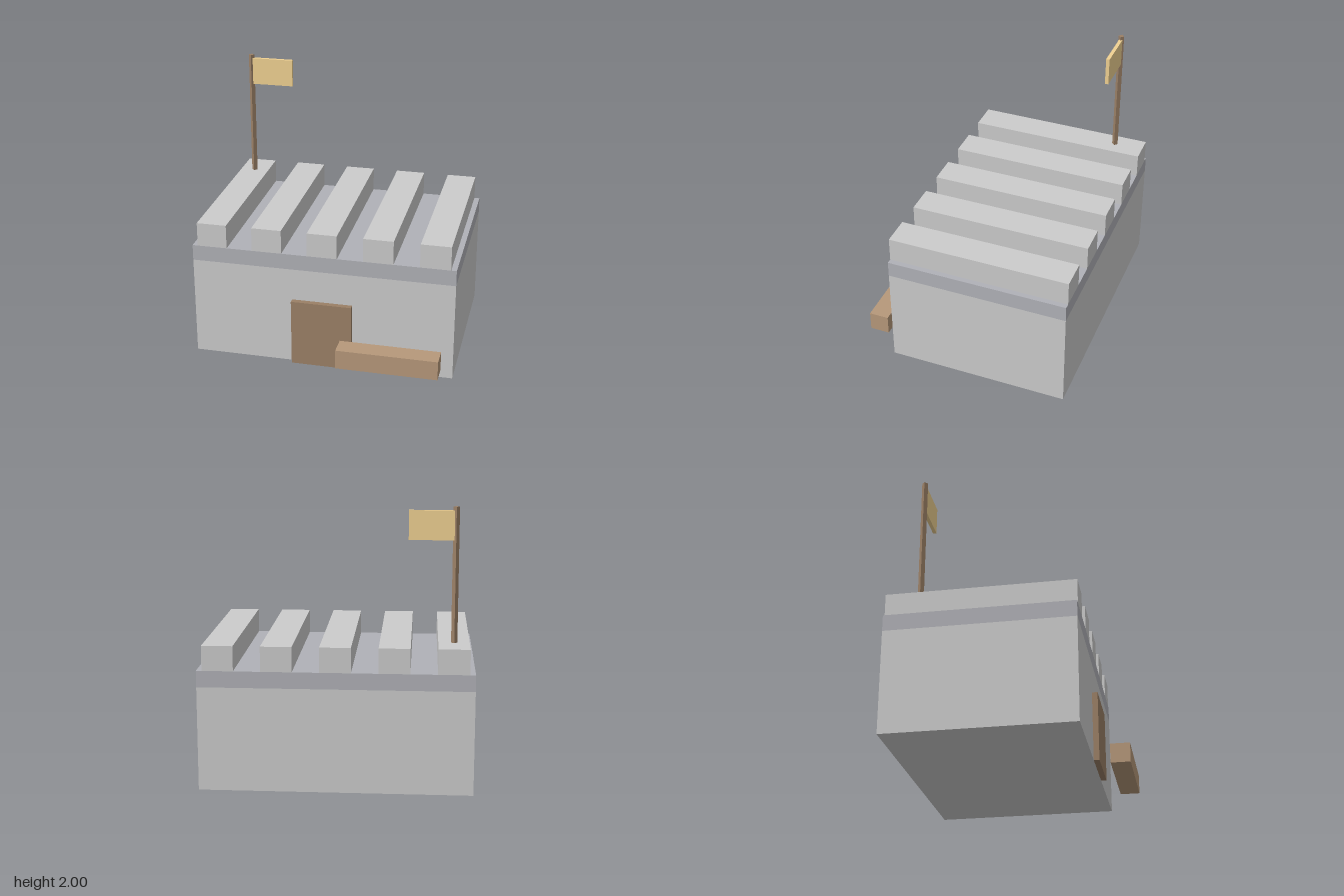
import * as THREE from 'three';

const material = (color) => new THREE.MeshStandardMaterial({ color, flatShading: true });

export function createModel() {
  const model = new THREE.Group();
  model.name = 'fort';

  const stone = material(0xcccccc);
  const darkStone = material(0xb0b1b7);
  const darkWood = material(0x9b8066);
  const wood = material(0xb6987a);
  const cloth = material(0xf0d192);

  const add = (name, geometry, mat, x, y, z) => {
    const mesh = new THREE.Mesh(geometry, mat);
    mesh.name = name;
    mesh.position.set(x, y, z);
    model.add(mesh);
    return mesh;
  };
  // Box given by its extents along each axis
  const box = (name, mat, [x0, x1], [y0, y1], [z0, z1]) =>
    add(name, new THREE.BoxGeometry(x1 - x0, y1 - y0, z1 - z0), mat,
      (x0 + x1) / 2, (y0 + y1) / 2, (z0 + z1) / 2);

  // Keep and the darker course on top of it
  const depth = [-0.782, 0.558];
  box('keep', stone, [-0.972, 0.968], [0, 0.75], depth);
  box('parapetBand', darkStone, [-0.972, 0.968], [0.75, 0.868], depth);

  // Battlement ridges running front to back
  for (let i = -2; i <= 2; i++) {
    const x = i * 0.41 - 0.002;
    box('battlement', stone, [x - 0.11, x + 0.11], [0.868, 1.047], depth);
  }

  // Gate and the loose beam in front of it
  box('gate', darkWood, [-0.226, 0.222], [0, 0.508], [0.558, 0.598]);
  box('beam', wood, [0.148, 0.89], [0.108, 0.254], [0.638, 0.784]);

  // Four-sided flagpole and flag
  add('flagpole', new THREE.CylinderGeometry(0.022, 0.022, 0.953, 4), darkWood, -0.823, 1.5235, -0.56);
  box('flag', cloth, [-0.812, -0.497], [1.768, 1.974], [-0.573, -0.547]);

  return model;
}
